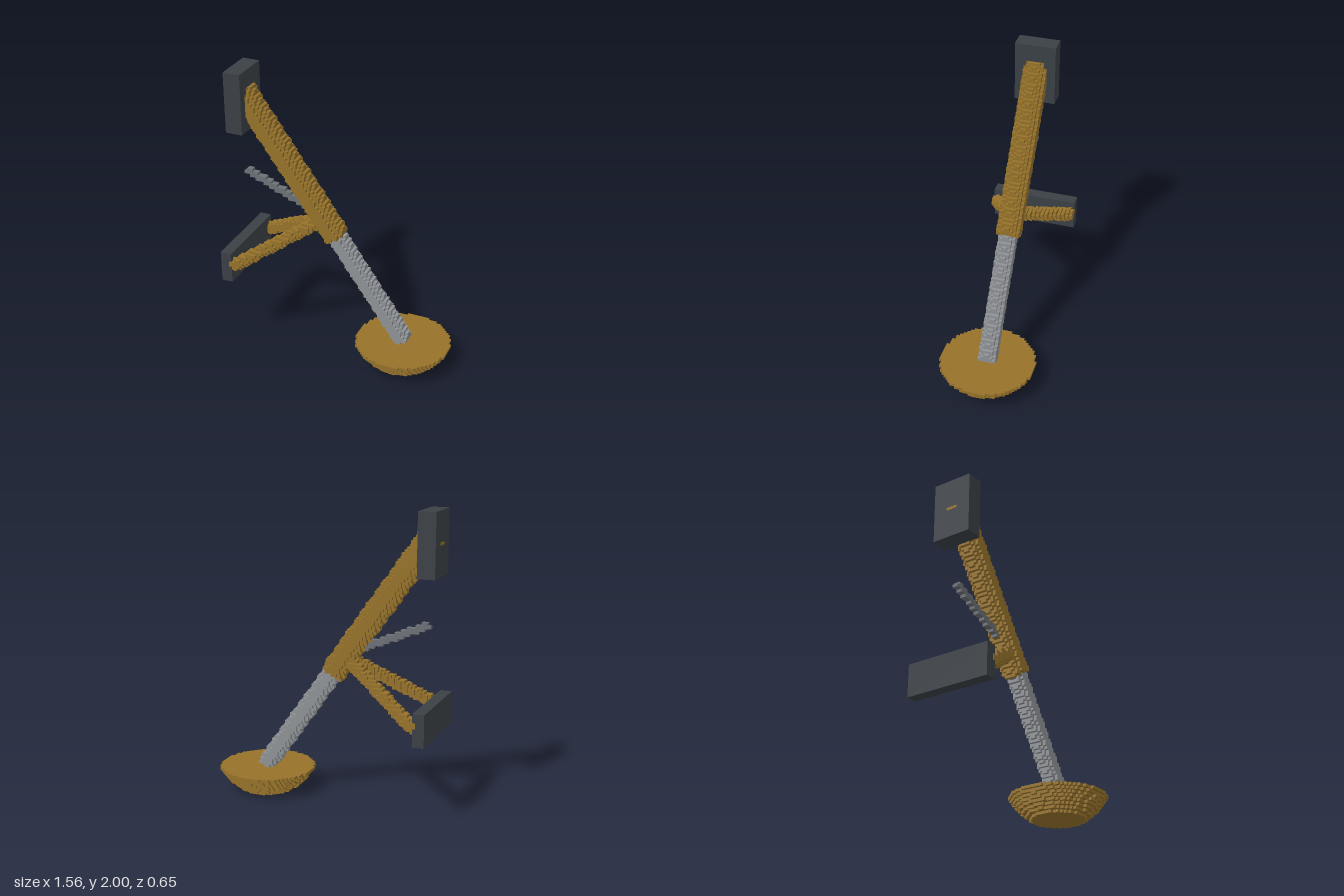
import * as THREE from 'three';

const V = 2 / 99;          // cell size
const X0 = -38.5 * V;      // grid origin in x (y and z start on 0)

const mat = (name, color) => {
  const m = new THREE.MeshStandardMaterial({ color });
  m.name = name;
  return m;
};

// Test for a point in a flat-ended cylinder from a to b
function rod(a, b, r) {
  const A = new THREE.Vector3(...a), B = new THREE.Vector3(...b);
  const axis = B.clone().sub(A), len = axis.length();
  axis.normalize();
  const d = new THREE.Vector3();
  return (p) => {
    d.copy(p).sub(A);
    const t = d.dot(axis);
    return t >= 0 && t <= len && d.lengthSq() - t * t <= r * r;
  };
}

// Stepped solid: outer faces of every grid cell whose centre passes the test
function blocks(inside) {
  const cells = new Set(), list = [], p = new THREE.Vector3();
  const key = (i, j, k) => (i * 200 + j) * 200 + k + 100;
  for (let i = 0; i < 77; i++)
    for (let j = 0; j < 99; j++)
      for (let k = -16; k < 16; k++) {
        p.set(X0 + (i + 0.5) * V, (j + 0.5) * V, (k + 0.5) * V);
        if (inside(p)) {
          cells.add(key(i, j, k));
          list.push([i, j, k]);
        }
      }
  const pos = [];
  for (const c of list)
    for (let axis = 0; axis < 3; axis++)
      for (const side of [0, 1]) {
        const n = [...c];
        n[axis] += side ? 1 : -1;
        if (cells.has(key(...n))) continue;
        const u = (axis + 1) % 3, w = (axis + 2) % 3;
        const corner = (du, dw) => {
          const q = [...c];
          q[axis] += side;
          q[u] += du;
          q[w] += dw;
          return [X0 + q[0] * V, q[1] * V, q[2] * V];
        };
        const q = [corner(0, 0), corner(1, 0), corner(1, 1), corner(0, 1)];
        if (!side) q.reverse();
        for (const m of [0, 1, 2, 0, 2, 3]) pos.push(...q[m]);
      }
  const g = new THREE.BufferGeometry();
  g.setAttribute('position', new THREE.Float32BufferAttribute(pos, 3));
  g.computeVertexNormals();
  return g;
}

export function createModel() {
  const group = new THREE.Group();
  const bronze = mat('bronze', 0x96722a);
  const silver = mat('silver', 0x8f9296);
  const steel = mat('steel grey', 0x6c7176);
  const dark = mat('dark slate', 0x3b4046);

  const add = (name, geometry, material) => {
    const mesh = new THREE.Mesh(geometry, material);
    mesh.name = name;
    group.add(mesh);
    return mesh;
  };

  // Mount plates, a hair smaller than the grid so the rod ends show in them
  const plate = (name, x0, x1, y0, y1, halfZ) => {
    const gap = 0.002;
    const g = new THREE.BoxGeometry(x1 - x0 - gap, y1 - y0 - gap / 2, 2 * halfZ - gap);
    add(name, g, dark).position.set((x0 + x1) / 2, (y0 + y1) / 2, 0);
  };
  plate('upperMount', X0, X0 + 6 * V, 78 * V, 99 * V, 7 * V);
  plate('lowerMount', X0, X0 + 4 * V, 26 * V, 37 * V, 15 * V);

  // Main slanted sleeve
  const inSleeve = rod([-0.715, 1.837, 0], [-0.04, 0.88, 0], 0.081);
  add('sleeve', blocks(inSleeve), bronze);

  // Sliding piston, from inside the sleeve to the foot
  const inPiston = rod([-0.07, 0.923, 0], [0.46, 0.17, 0], 0.0615);
  add('piston', blocks((p) => inPiston(p) && !inSleeve(p)), silver);

  // Thin actuator rod
  const inActuator = rod([-0.705, 1.257, 0], [-0.15, 1.025, 0], 0.025);
  add('actuator', blocks((p) => inActuator(p) && !inSleeve(p)), steel);

  // Pair of braces spreading to the lower mount
  for (const s of [1, -1]) {
    const inBrace = rod([-0.705, 0.642, s * 0.288], [-0.125, 1.0, 0], 0.04);
    add(s > 0 ? 'leftBrace' : 'rightBrace',
      blocks((p) => inBrace(p) && Math.abs(p.z) < 15 * V), bronze);
  }

  // Dish foot: one disc of cells per layer
  const radii = [0.182, 0.213, 0.237, 0.258, 0.277, 0.294, 0.31, 0.325];
  const footX = X0 + 61 * V;
  add('footDish', blocks((p) => {
    const r = radii[Math.floor(p.y / V)];
    return r !== undefined && Math.hypot(p.x - footX, p.z) <= r;
  }), bronze);

  return group;
}
